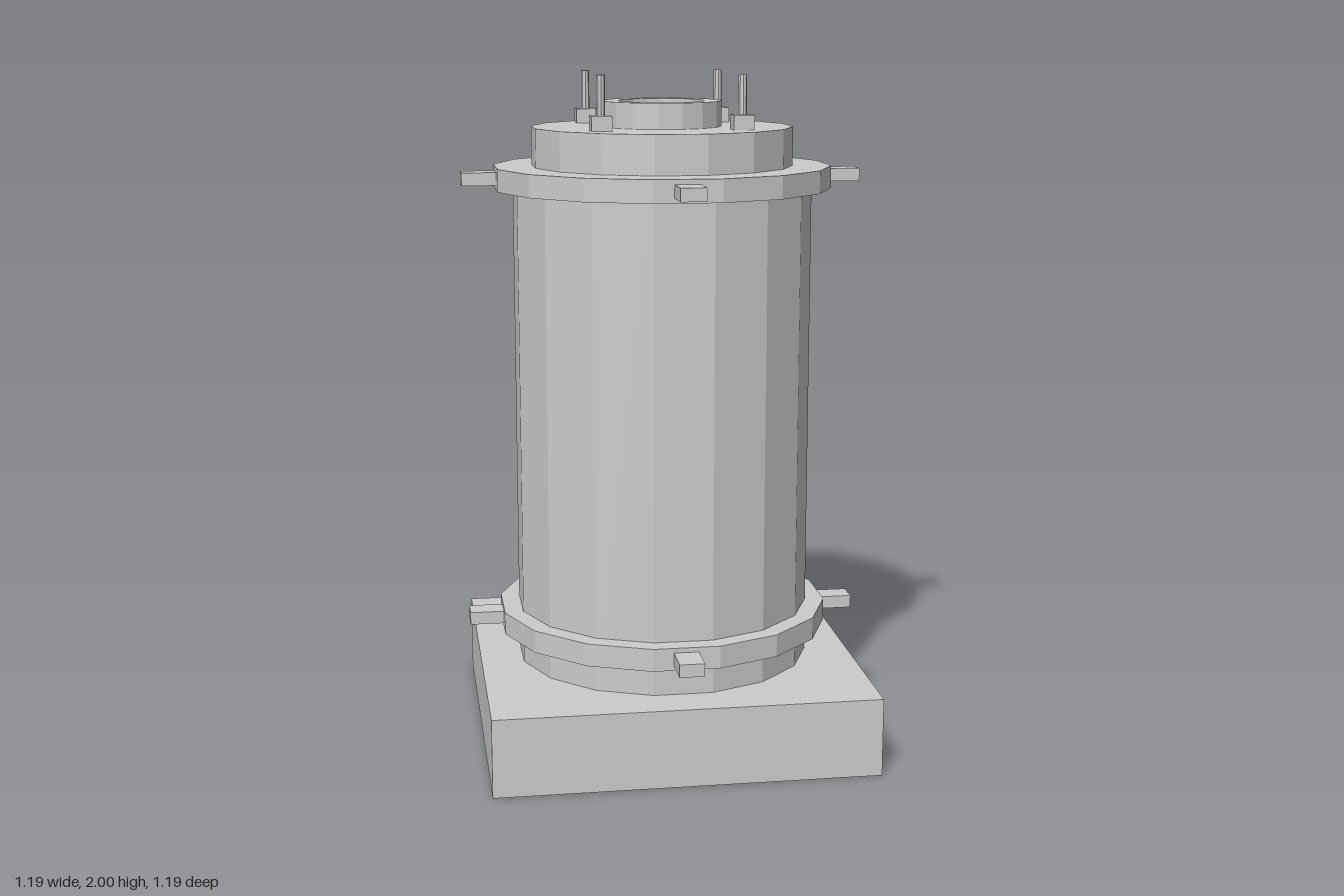
import * as THREE from 'three';

const SIDES = 16;
const TURN = Math.PI / SIDES; // puts a flat facet on each axis

export function createModel() {
  const model = new THREE.Group();
  model.name = 'canister';
  const solid = new THREE.MeshStandardMaterial({ color: 0xcccccc, flatShading: true });
  const open = new THREE.MeshStandardMaterial({ color: 0xcccccc, flatShading: true, side: THREE.DoubleSide });

  const add = (name, geometry, x = 0, y = 0, z = 0, material = solid, parent = model) => {
    const mesh = new THREE.Mesh(geometry, material);
    mesh.name = name;
    mesh.position.set(x, y, z);
    parent.add(mesh);
    return mesh;
  };

  // faceted drum between two heights
  const drum = (name, radius, y0, y1, openEnded = false) =>
    add(name, new THREE.CylinderGeometry(radius, radius, y1 - y0, SIDES, 1, openEnded).rotateY(TURN),
      0, (y0 + y1) / 2, 0, openEnded ? open : solid);

  // square base, hollow and open underneath
  const base = new THREE.BoxGeometry(1.13, 0.233, 1.13);
  const faces = Array.from(base.index.array);
  faces.splice(18, 6); // drop the bottom face
  base.setIndex(faces);
  base.clearGroups();
  add('base', base, 0, 0.1165, 0, open);

  // body tube dips slightly through the base plate
  drum('body', 0.445, 0.218, 1.7, true);
  drum('lowerFlange', 0.502, 0.326, 0.393);
  drum('upperFlange', 0.502, 1.663, 1.729);
  drum('lid', 0.388, 1.7, 1.843);

  // central collar with a recessed opening
  const collar = [[0.177, 1.84], [0.177, 1.918], [0.128, 1.918], [0.128, 1.846], [0, 1.846]]
    .map(([r, y]) => new THREE.Vector2(r, y));
  add('collar', new THREE.LatheGeometry(collar, SIDES, TURN));

  // four lugs around each flange
  const lug = new THREE.BoxGeometry(0.073, 0.038, 0.134).translate(0, 0, 0.527);
  for (const [name, y] of [['lowerLug', 0.36], ['upperLug', 1.696]]) {
    for (let i = 0; i < 4; i++) add(name, lug, 0, y, 0).rotation.y = i * Math.PI / 2;
  }

  // four studs on the lid: a square foot with a thin rod
  const foot = new THREE.BoxGeometry(0.06, 0.046, 0.06);
  const rod = new THREE.CylinderGeometry(0.0125, 0.0125, 0.12, 8);
  for (const x of [-0.204, 0.204]) {
    for (const z of [-0.204, 0.204]) {
      const stud = new THREE.Group();
      stud.name = 'stud';
      stud.position.set(x, 0, z);
      add('studFoot', foot, 0, 1.863, 0, solid, stud);
      add('studRod', rod, 0, 1.94, 0, solid, stud);
      model.add(stud);
    }
  }
  return model;
}
